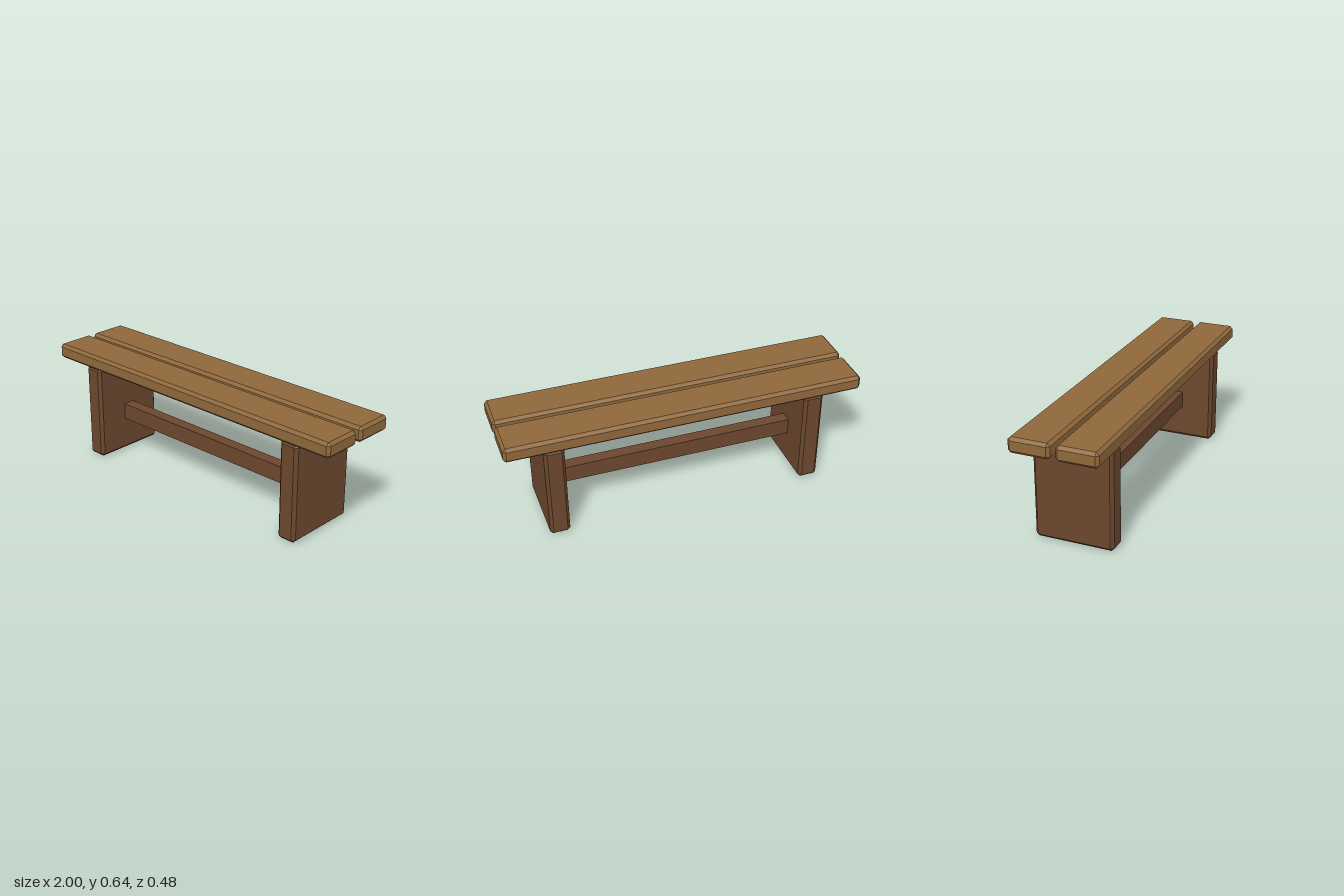
import * as THREE from 'three';
import { ConvexGeometry } from 'three/addons/geometries/ConvexGeometry.js';

// Box with all edges and corners cut at 45 degrees
function chamferedBox(w, h, d, c) {
  const points = [];
  for (const sx of [-1, 1]) for (const sy of [-1, 1]) for (const sz of [-1, 1]) {
    const x = w / 2, y = h / 2, z = d / 2;
    points.push(
      new THREE.Vector3(sx * x, sy * (y - c), sz * (z - c)),
      new THREE.Vector3(sx * (x - c), sy * y, sz * (z - c)),
      new THREE.Vector3(sx * (x - c), sy * (y - c), sz * z)
    );
  }
  return new ConvexGeometry(points);
}

export function createModel() {
  const bench = new THREE.Group();
  bench.name = 'bench';

  const seatWood = new THREE.MeshStandardMaterial({ color: 0x8f683b });
  seatWood.name = 'seat wood';
  const frameWood = new THREE.MeshStandardMaterial({ color: 0x6b472e });
  frameWood.name = 'frame wood';

  const add = (name, geometry, material, x, y, z) => {
    const mesh = new THREE.Mesh(geometry, material);
    mesh.name = name;
    mesh.position.set(x, y, z);
    bench.add(mesh);
  };

  // Two seat planks with a narrow gap between them
  const plank = chamferedBox(2, 0.085, 0.227, 0.016);
  add('frontPlank', plank, seatWood, 0, 0.6025, 0.1275);
  add('backPlank', plank, seatWood, 0, 0.6025, -0.1275);

  // Slab legs
  const leg = chamferedBox(0.112, 0.56, 0.44, 0.017);
  add('leftLeg', leg, frameWood, 0.734, 0.28, 0);
  add('rightLeg', leg, frameWood, -0.734, 0.28, 0);

  // Plain stretcher joining the legs
  add('stretcher', new THREE.BoxGeometry(1.4, 0.095, 0.068), frameWood, 0, 0.243, 0);

  return bench;
}
